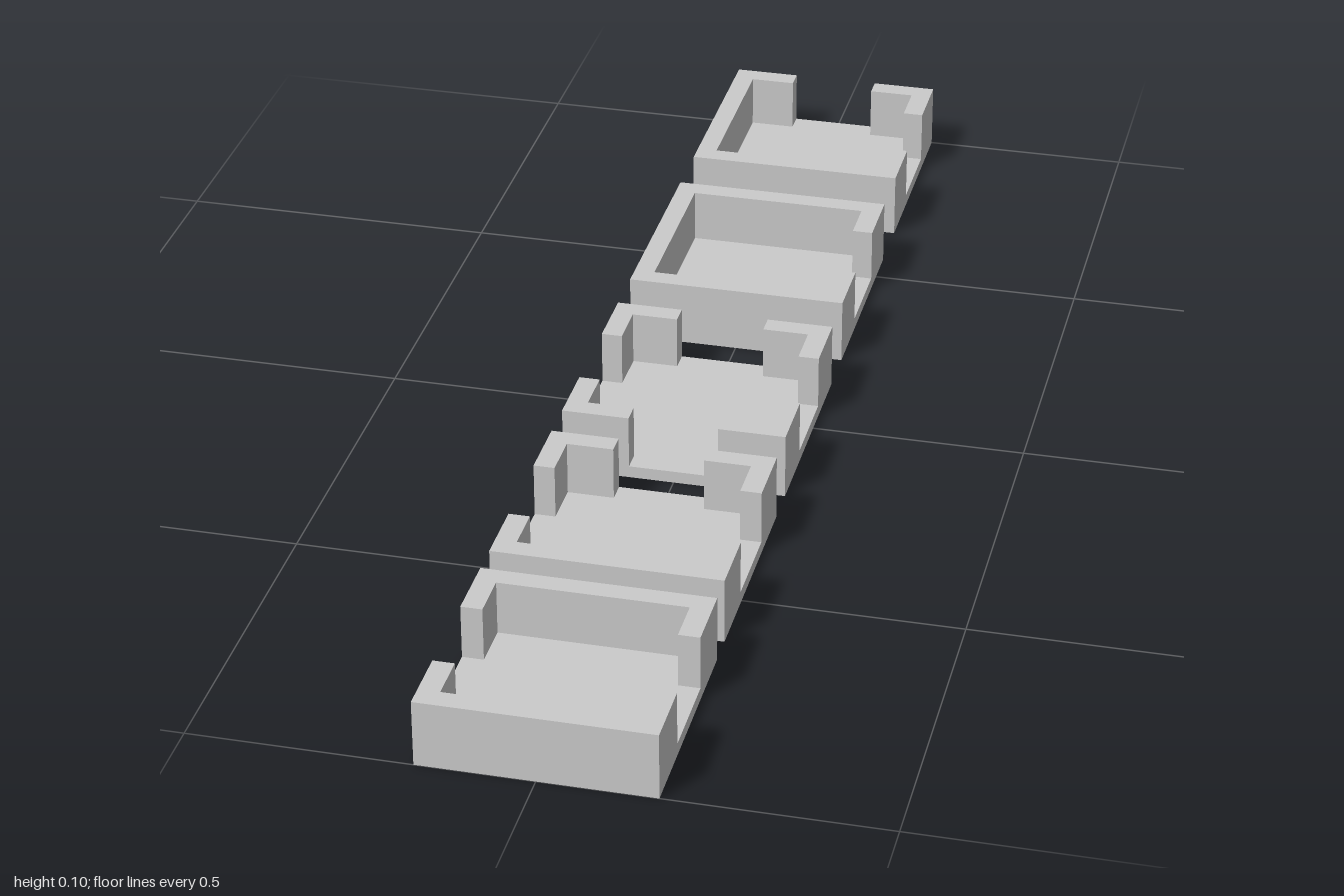
import * as THREE from 'three';

const HALF = 0.172;   // half the width of a tile
const INNER = 0.14;   // half the width inside the walls
const GAP = 0.069;    // half the width of a doorway
const FLOOR = 0.019;  // floor thickness
const HEIGHT = 0.103;

// Sides are numbered by quarter turns: 0 left (+x), 1 back, 2 right (-x), 3 front
const LEFT = 0, BACK = 1, RIGHT = 2, FRONT = 3;

const material = new THREE.MeshStandardMaterial({ color: 0xcccccc });

// Plan point at a distance out from the centre and along the given side
function planPoint(side, out, along) {
  const c = [1, 0, -1, 0][side % 4];
  const s = [0, 1, 0, -1][side % 4];
  return new THREE.Vector2(c * out - s * along, s * out + c * along);
}

// One unbroken wall, running round the corners from one doorway to the next
function makeWall(from, to) {
  const outer = [planPoint(from, HALF, GAP)];
  const inner = [planPoint(from, INNER, GAP)];
  for (let side = from; side < to; side++) {
    outer.push(planPoint(side, HALF, HALF));
    inner.push(planPoint(side, INNER, INNER));
  }
  outer.push(planPoint(to, HALF, -GAP));
  inner.push(planPoint(to, INNER, -GAP));
  const shape = new THREE.Shape([...outer, ...inner.reverse()]);
  const geometry = new THREE.ExtrudeGeometry(shape, { depth: HEIGHT - FLOOR, bevelEnabled: false });
  geometry.rotateX(-Math.PI / 2);
  const wall = new THREE.Mesh(geometry, material);
  wall.position.y = FLOOR;
  wall.name = 'wall';
  return wall;
}

// Square room tile: a floor slab and the walls between its doorways
function makeTile(name, z, doors) {
  const tile = new THREE.Group();
  tile.name = name;
  tile.position.z = z;
  const floor = new THREE.Mesh(new THREE.BoxGeometry(HALF * 2, FLOOR, HALF * 2), material);
  floor.position.y = FLOOR / 2;
  floor.name = 'floor';
  tile.add(floor);
  doors.forEach((door, i) => {
    const next = i + 1 < doors.length ? doors[i + 1] : doors[0] + 4;
    tile.add(makeWall(door, next));
  });
  return tile;
}

export function createModel() {
  const model = new THREE.Group();
  model.name = 'roomTiles';
  model.add(
    makeTile('cornerRoom', -0.828, [LEFT, BACK]),
    makeTile('deadEndRoom', -0.389, [LEFT]),
    makeTile('crossingRoom', 0.033, [LEFT, BACK, RIGHT, FRONT]),
    makeTile('junctionRoom', 0.438, [LEFT, BACK, RIGHT]),
    makeTile('passageRoom', 0.828, [LEFT, RIGHT]),
  );
  return model;
}
